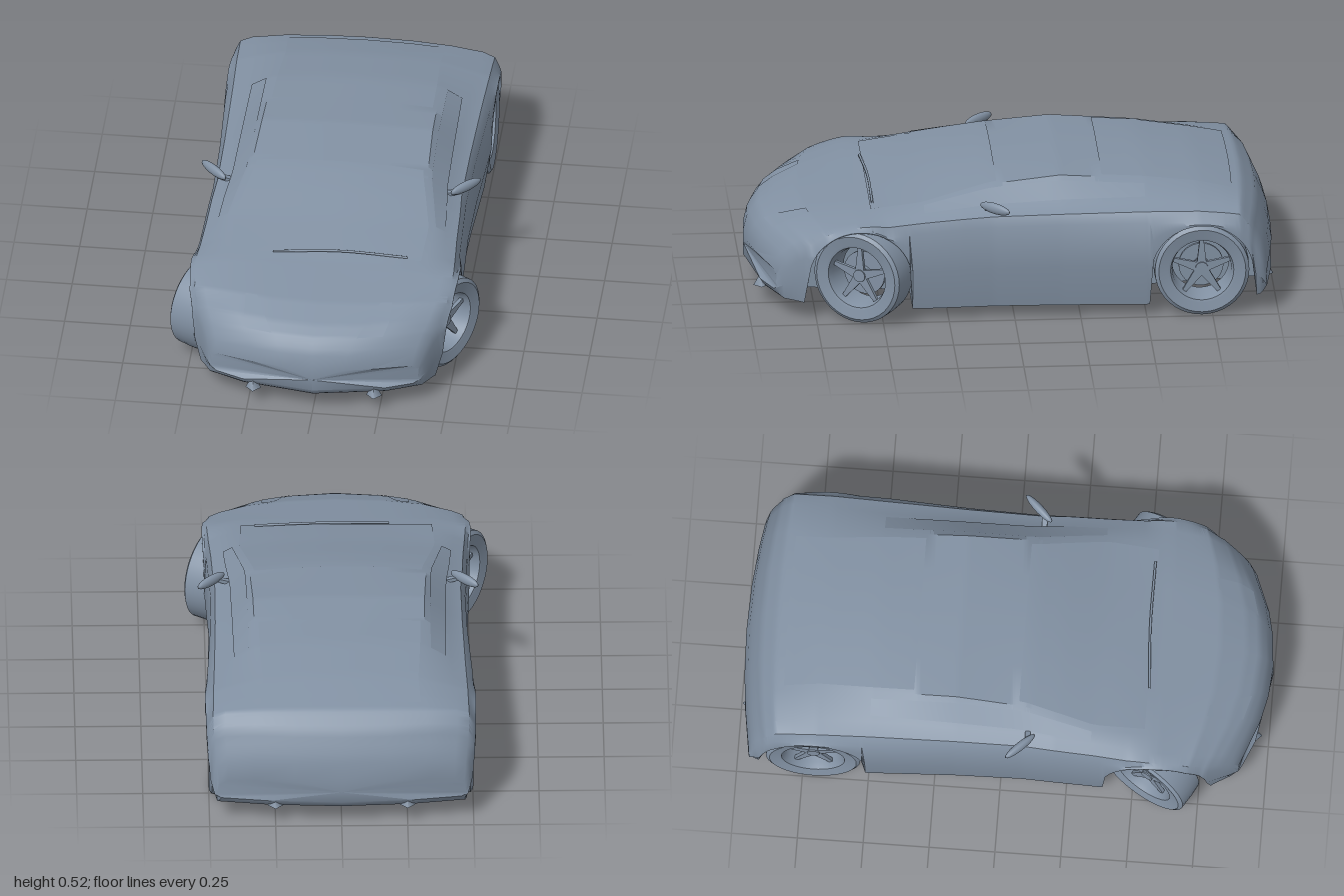
import * as THREE from 'three';
import { toCreasedNormals } from 'three/addons/utils/BufferGeometryUtils.js';

const paint = new THREE.MeshStandardMaterial({ color: 0x8291a3, side: THREE.DoubleSide });
paint.name = 'blue grey';

// Body stations: z, half width, roof y, shoulder x, shoulder y, roof edge x, roof edge y
const STATIONS = [
  [-1, .48, .19, .45, .18, .33, .19],
  [-.985, .49, .28, .45, .265, .33, .278],
  [-.94, .505, .38, .46, .365, .33, .378],
  [-.88, .51, .44, .46, .42, .32, .432],
  [-.7, .513, .482, .45, .435, .31, .468],
  [-.5, .51, .51, .44, .435, .32, .495],
  [-.18, .495, .525, .44, .43, .325, .517],
  [.08, .49, .51, .44, .425, .335, .492],
  [.2, .495, .487, .45, .42, .36, .467],
  [.35, .5, .452, .455, .41, .39, .434],
  [.57, .51, .407, .47, .392, .38, .405],
  [.8, .5, .372, .46, .36, .33, .371],
  [.9, .48, .338, .44, .32, .30, .335],
  [.95, .45, .31, .42, .29, .27, .305],
  [.985, .42, .265, .40, .24, .24, .26],
  [1, .40, .2, .39, .185, .22, .198],
];
const ARCHES = [.585, -.71];
const ARCH_R = .195, ARCH_Y = .172;

function station(z) {
  let i = 0;
  while (i < STATIONS.length - 2 && STATIONS[i + 1][0] < z) i++;
  const a = STATIONS[i], b = STATIONS[i + 1], t = (z - a[0]) / (b[0] - a[0]);
  return a.map((v, k) => v + (b[k] - v) * t);
}

// Underside height: flat floor, rising to both bumpers and rounded at the tips
function floorY(z) {
  const overhang = Math.max(0, z > 0 ? z - .35 : (-.5 - z) * 1.2);
  return .046 + Math.min(.034, overhang * .045) + Math.max(0, Math.abs(z) - .98) * 1.5;
}

// Plan-view rounding of the nose and tail
function bend(z, x) {
  if (z > .6) return z - .65 * x * x * Math.min(1, (z - .6) / .35);
  if (z < -.8) return z + .2 * x * x * Math.min(1, (-.8 - z) / .15);
  return z;
}

// Half cross-section from floor centre, round the side, to roof centre
function section(z) {
  const [, w, yt, xs, ys, xr, yr] = station(z);
  const yb = floorY(z), zs = bend(z, w);
  let sill = yb;
  for (const c of ARCHES) {
    const d = Math.abs(zs - c);
    if (d < ARCH_R) sill = Math.max(sill, ARCH_Y + Math.sqrt(ARCH_R ** 2 - d * d));
  }
  sill = Math.min(sill, ys - .012);
  const hi = Math.max(ys - .055, sill + .006);
  return [[0, yb], [.27, yb], [.27, sill], [w - (sill < .11 ? .025 : 0), sill],
    [w, sill + (hi - sill) * .5], [w - .008, hi], [(xs + w) / 2, (hi + 2 * ys) / 3],
    [xs - .02, ys], [xr, yr], [xr * .55, yt - (yt - yr) * .25], [0, yt]]
    .map(([x, y]) => new THREE.Vector3(x, y, bend(z, x)));
}

// Skin over rows of points; closed rows are also capped at both ends
function grid(rows, closed) {
  const n = rows[0].length, pos = [], idx = [];
  rows.forEach(r => r.forEach(p => pos.push(p.x, p.y, p.z)));
  for (let i = 0; i < rows.length - 1; i++) {
    for (let j = 0; j < (closed ? n : n - 1); j++) {
      const k = (j + 1) % n, a = i * n + j, b = i * n + k;
      idx.push(a, b, b + n, a, b + n, a + n);
    }
  }
  if (closed) for (const [row, flip] of [[0, true], [rows.length - 1, false]]) {
    const c = pos.length / 3, r = rows[row];
    pos.push(0, (r[0].y + r[n / 2].y) / 2, r[0].z);
    for (let j = 0; j < n; j++) {
      const a = row * n + j, b = row * n + (j + 1) % n;
      idx.push(c, flip ? b : a, flip ? a : b);
    }
  }
  const g = new THREE.BufferGeometry();
  g.setAttribute('position', new THREE.Float32BufferAttribute(pos, 3));
  g.setIndex(idx);
  return toCreasedNormals(g, .6);
}

const mirrorX = p => new THREE.Vector3(-p.x, p.y, p.z);

function add(parent, name, geometry, x = 0, y = 0, z = 0) {
  const m = new THREE.Mesh(geometry, paint);
  m.name = name;
  m.position.set(x, y, z);
  parent.add(m);
  return m;
}

// Thin panel following the body between two cross-section columns
function panel(col, z0, z1, inset0, inset1, side, dx, dy) {
  const rows = [];
  for (let i = 0; i <= 14; i++) {
    const t = i / 14, s = section(z0 + (z1 - z0) * t), e = inset0 + (inset1 - inset0) * t;
    const row = [e, 1 - e].map(u => s[col].clone().lerp(s[col + 1], u).add(new THREE.Vector3(dx, dy, 0)));
    rows.push(side > 0 ? row : row.map(mirrorX).reverse());
  }
  return grid(rows, false);
}

// Full-width glass following the roof
function glassTop(z0, z1) {
  const rows = [];
  for (let i = 0; i <= 14; i++) {
    const s = section(z0 + (z1 - z0) * i / 14);
    const half = [s[8], s[9], s[10]].map(p => new THREE.Vector3(p.x * .95, p.y + .003, p.z));
    rows.push([...half, mirrorX(half[1]), mirrorX(half[0])]);
  }
  return grid(rows, false);
}

// Wheel with its axis on x, outer face towards +x
function makeWheel(name) {
  const wheel = new THREE.Group();
  wheel.name = name;
  const lathe = pts => {
    const g = new THREE.LatheGeometry(pts.map(p => new THREE.Vector2(...p)), 40);
    return toCreasedNormals(g.rotateZ(-Math.PI / 2), .6);
  };
  add(wheel, 'tyre', lathe([[.128, -.058], [.165, -.065], [.179, -.055], [.181, 0],
    [.179, .055], [.165, .065], [.128, .058]]));
  add(wheel, 'rim', lathe([[.128, .058], [.12, .056], [.112, .03], [.108, -.05], [.128, -.058]]));
  add(wheel, 'brakeDisc', new THREE.CylinderGeometry(.085, .085, .012, 32).rotateZ(Math.PI / 2), -.015);
  add(wheel, 'hub', new THREE.CylinderGeometry(.024, .028, .05, 20).rotateZ(-Math.PI / 2), .012);
  // Five tapered spokes forming a star
  const points = [];
  for (let i = 0; i < 5; i++) {
    const a = i * Math.PI * .4 + Math.PI / 2;
    for (const [r, d] of [[.03, -.62], [.112, -.07], [.112, .07]]) {
      points.push(new THREE.Vector2(r * Math.cos(a + d), r * Math.sin(a + d)));
    }
  }
  add(wheel, 'spokes', new THREE.ExtrudeGeometry(new THREE.Shape(points), { depth: .014, bevelEnabled: false })
    .rotateY(Math.PI / 2), .018);
  return wheel;
}

export function createModel() {
  const car = new THREE.Group();
  car.name = 'sportsCar';

  // Body shell
  const rows = [];
  for (let i = 0; i <= 160; i++) {
    const half = section(-1 + i / 80);
    rows.push([...half, ...half.slice(1, -1).reverse().map(mirrorX)]);
  }
  add(car, 'bodyShell', grid(rows, true));

  // Glass
  add(car, 'windshield', glassTop(.06, .54));
  add(car, 'rearWindow', glassTop(-.84, -.34));

  // Raised floor plate with cut corners
  const edge = [[.2, .5], [.3, .36], [.38, .3], [.38, -.42], [.24, -.56]].map(p => new THREE.Vector2(...p));
  const floor = new THREE.Shape([...edge, ...edge.map(p => new THREE.Vector2(-p.x, p.y)).reverse()]);
  add(car, 'floorPlate', new THREE.ExtrudeGeometry(floor, { depth: .012, bevelEnabled: false })
    .rotateX(Math.PI / 2), 0, .056);

  // Wiper
  const wiper = new THREE.CatmullRomCurve3([[-.2, .418, .545], [.05, .428, .53], [.31, .418, .53]]
    .map(p => new THREE.Vector3(...p)));
  add(car, 'wiper', new THREE.TubeGeometry(wiper, 12, .005, 6));

  const steer = -Math.PI / 6;
  for (const s of [1, -1]) {
    const side = s > 0 ? 'left' : 'right';
    add(car, side + 'SideWindow', panel(7, -.5, .34, .22, .12, s, .003, .002));
    add(car, side + 'Headlight', panel(8, .8, .95, .35, .1, s, .001, .003));

    // Wheels, the front pair steered
    const front = makeWheel(side + 'FrontWheel');
    front.position.set(s * .437, .181, .572);
    front.rotation.y = steer + (s > 0 ? 0 : Math.PI);
    const rear = makeWheel(side + 'RearWheel');
    rear.position.set(s * .435, .181, -.71);
    rear.rotation.y = s > 0 ? 0 : Math.PI;
    car.add(front, rear);
    for (const [end, z] of [['Front', .572], ['Rear', -.71]]) {
      add(car, side + end + 'Axle', new THREE.CylinderGeometry(.03, .03, .17, 16).rotateZ(Math.PI / 2), s * .345, .181, z);
    }

    // Door mirror on a short stalk
    const mirror = add(car, side + 'Mirror', new THREE.SphereGeometry(1, 20, 12), s * .48, .446, .075);
    mirror.scale.set(.073, .021, .016);
    mirror.rotation.y = s * .8;
    const stalk = add(car, side + 'MirrorStalk', new THREE.BoxGeometry(.05, .014, .02), s * .438, .432, .1);
    stalk.rotation.z = s * .25;

    // Bumper fins
    const fin = new THREE.ConeGeometry(.03, .055, 4);
    add(car, side + 'FrontFin', fin, s * .23, .093, .945);
    add(car, side + 'RearFin', fin, s * .25, .1, -.965);
  }
  return car;
}
